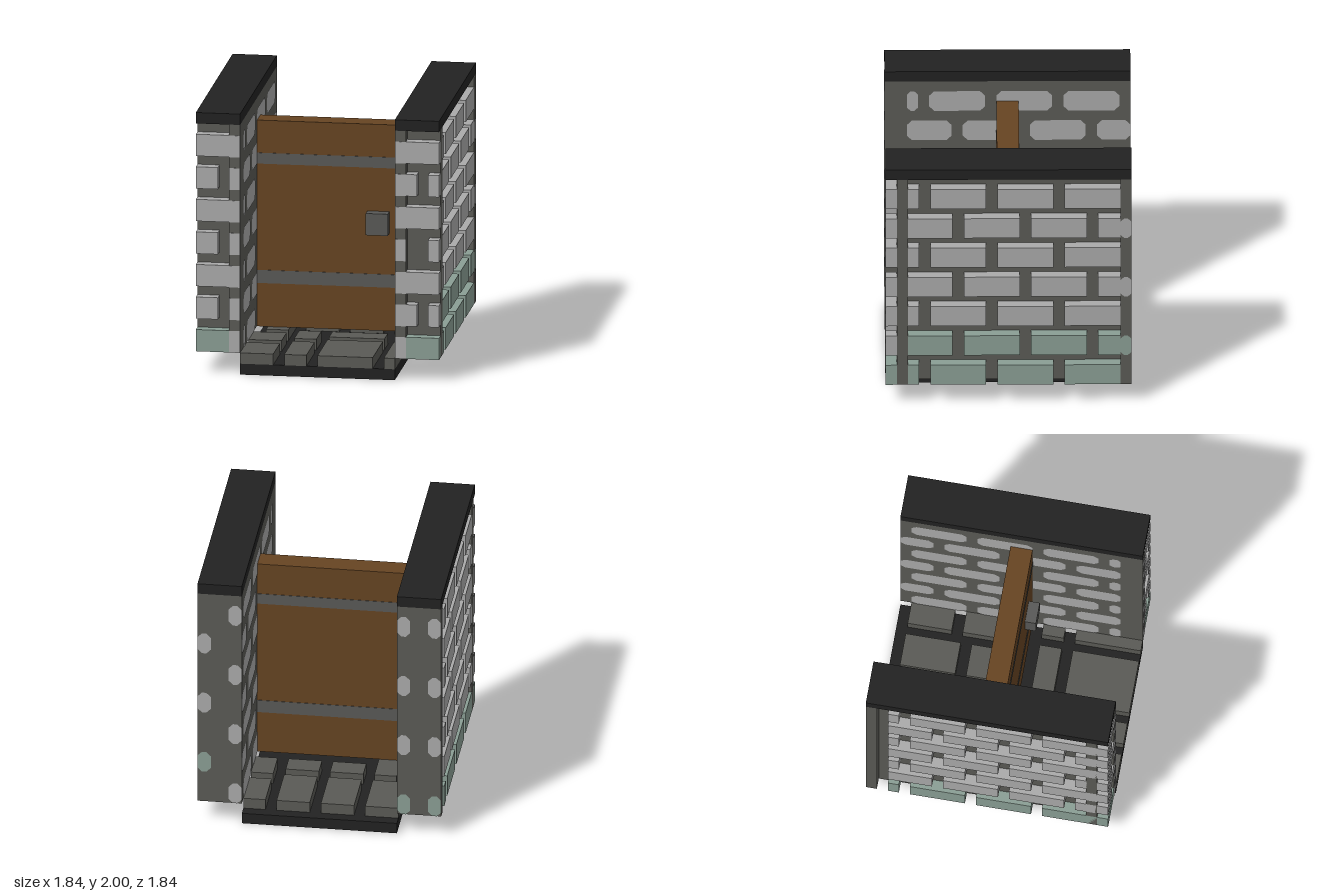
import * as THREE from 'three';

const U = 1 / 12; // one block of the building grid

const mat = (name, color) => Object.assign(new THREE.MeshStandardMaterial({ color }), { name });

export function createModel() {
  const root = new THREE.Group();
  root.name = 'stoneGateway';
  const dark = mat('darkSlate', 0x222222);
  const mortar = mat('greyMortar', 0x5a5a55);
  const brick = mat('paleBrick', 0xaaaaaa);
  const moss = mat('mossyBrick', 0x8a9e94);
  const wood = mat('brownWood', 0x664422);
  const iron = mat('greyIron', 0x595957);

  // Box given by its limits in grid units
  function box(parent, name, material, x0, x1, y0, y1, z0, z1) {
    const a = Math.min(x0, x1), b = Math.max(x0, x1);
    const mesh = new THREE.Mesh(new THREE.BoxGeometry((b - a) * U, (y1 - y0) * U, (z1 - z0) * U), material);
    mesh.position.set((a + b) / 2 * U, (y0 + y1) / 2 * U, (z0 + z1) / 2 * U);
    mesh.name = name;
    parent.add(mesh);
    return mesh;
  }

  // Flat brick face with clipped corners, lying just above a wall
  function patch(parent, name, material, w, h, x, y, z, turn) {
    const a = w / 2, b = h / 2, c = Math.min(0.45, w / 3);
    const outline = [[-a, -b + c], [-a + c, -b], [a - c, -b], [a, -b + c], [a, b - c], [a - c, b], [-a + c, b], [-a, b - c]];
    const shape = new THREE.Shape(outline.map(([px, py]) => new THREE.Vector2(px * U, py * U)));
    const mesh = new THREE.Mesh(new THREE.ShapeGeometry(shape), material);
    mesh.position.set(x * U, y * U, z * U);
    mesh.rotation.y = turn;
    mesh.name = name;
    parent.add(mesh);
  }

  // Base and paving stones: x0, x1, z0, z1
  const floor = new THREE.Group();
  floor.name = 'floor';
  root.add(floor);
  box(floor, 'base', dark, -7, 7, 0, 1, -11, 11);
  const stones = [
    [-7, -4, -10, -5], [-3, 0, -10, -5], [1, 4, -10, -5], [5, 7, -10, -6],
    [5, 7, -5, -2], [-6, -4, -4, 2], [-3, 0, -4, -2], [1, 4, -4, -2],
    [-3, -1, 2, 5], [0, 5, 2, 4], [6, 7, 2, 4], [-7, -4, 3, 6],
    [-7, -4, 7, 11], [-3, -1, 6, 11], [0, 5, 5, 11], [6, 7, 5, 11],
  ];
  for (const [x0, x1, z0, z1] of stones) box(floor, 'pavingStone', mortar, x0, x1, 1, 2, z0, z1);

  // Door with two bands running right through and a handle
  const door = new THREE.Group();
  door.name = 'door';
  root.add(door);
  box(door, 'doorPanel', wood, -7, 7, 2, 21, -1, 1);
  for (const [y0, y1] of [[6, 7.2], [17, 18]]) box(door, 'doorBand', iron, -6.99, 6.99, y0, y1, -1.04, 1.04);
  box(door, 'doorHandle', iron, 3, 5, 11, 13, 1, 2);

  // Brick runs along z for even and odd courses
  const courses = [
    [[8, 9], [2, 7], [-4, 1], [-10, -5]],
    [[5, 9], [-1, 4], [-7, -2], [-11, -8]],
  ];

  for (const s of [1, -1]) {
    const wall = new THREE.Group();
    wall.name = s > 0 ? 'leftWall' : 'rightWall';
    root.add(wall);
    // Mortar body and coping
    box(wall, 'coping', dark, 7 * s, 11 * s, 23, 24, -11, 11);
    box(wall, 'innerSlab', mortar, 7 * s, 8 * s, 2, 23, -11, 11);
    box(wall, 'wallCore', mortar, 8 * s, 10 * s, 2, 23, -10, 9);
    box(wall, 'backSlab', mortar, 8 * s, 11 * s, 2, 23, -11, -10);
    box(wall, 'frontPost', mortar, 8 * s, 11 * s, 2, 23, 9, 10);

    for (let row = 0; row < 7; row++) {
      const y0 = 2 + row * 3, y1 = y0 + 2, yc = y0 + 1;
      const odd = row % 2;
      const mossy = row === 0 || (row === 1 && s > 0);
      const outer = mossy ? moss : brick;

      for (const [a, b] of courses[odd]) {
        // Raised outer bricks; the right wall runs the opposite way
        let z0 = s > 0 ? a : -b, z1 = s > 0 ? b : -a;
        if (z0 === -11) {
          patch(wall, 'cornerBrickFace', outer, 1, 2, s * 11.03, yc, -10.5, s * Math.PI / 2);
          z0 = -10;
        }
        box(wall, 'outerBrick', outer, 10 * s, 11 * s, y0, y1, z0, Math.min(z1, 10));
        // Flush bricks on the inside
        patch(wall, 'innerBrickFace', brick, b - a, 2, s * 6.97, yc, (a + b) / 2, -s * Math.PI / 2);
      }

      // Raised front bricks beside the flush end of the inner slab
      const end = row ? brick : moss;
      if (!odd) {
        box(wall, 'frontBrick', end, 8 * s, 11 * s, y0, y1, 10, 11);
      } else if (s > 0) {
        if (row !== 3) box(wall, 'frontBrick', end, 8, 9, y0, y1, 10, 11);
        box(wall, 'frontBrick', end, 10, 11, y0, y1, 10, 11);
      } else {
        box(wall, 'frontBrick', end, -11, -9, y0, y1, 10, 11);
      }
      box(wall, 'frontBrickFace', brick, 7 * s, 8 * s, y0, y1, 10.98, 11.03);

      // Flush bricks on the back
      const innerBack = row === 0 && s < 0 ? moss : brick;
      if (!odd) patch(wall, 'backBrickFace', innerBack, 1.2, 2, s * 7.6, yc, -11.03, Math.PI);
      if (odd === (s > 0 ? 1 : 0)) patch(wall, 'backBrickFace', outer, 1.2, 2, s * 10.4, yc, -11.03, Math.PI);
    }
  }
  return root;
}
